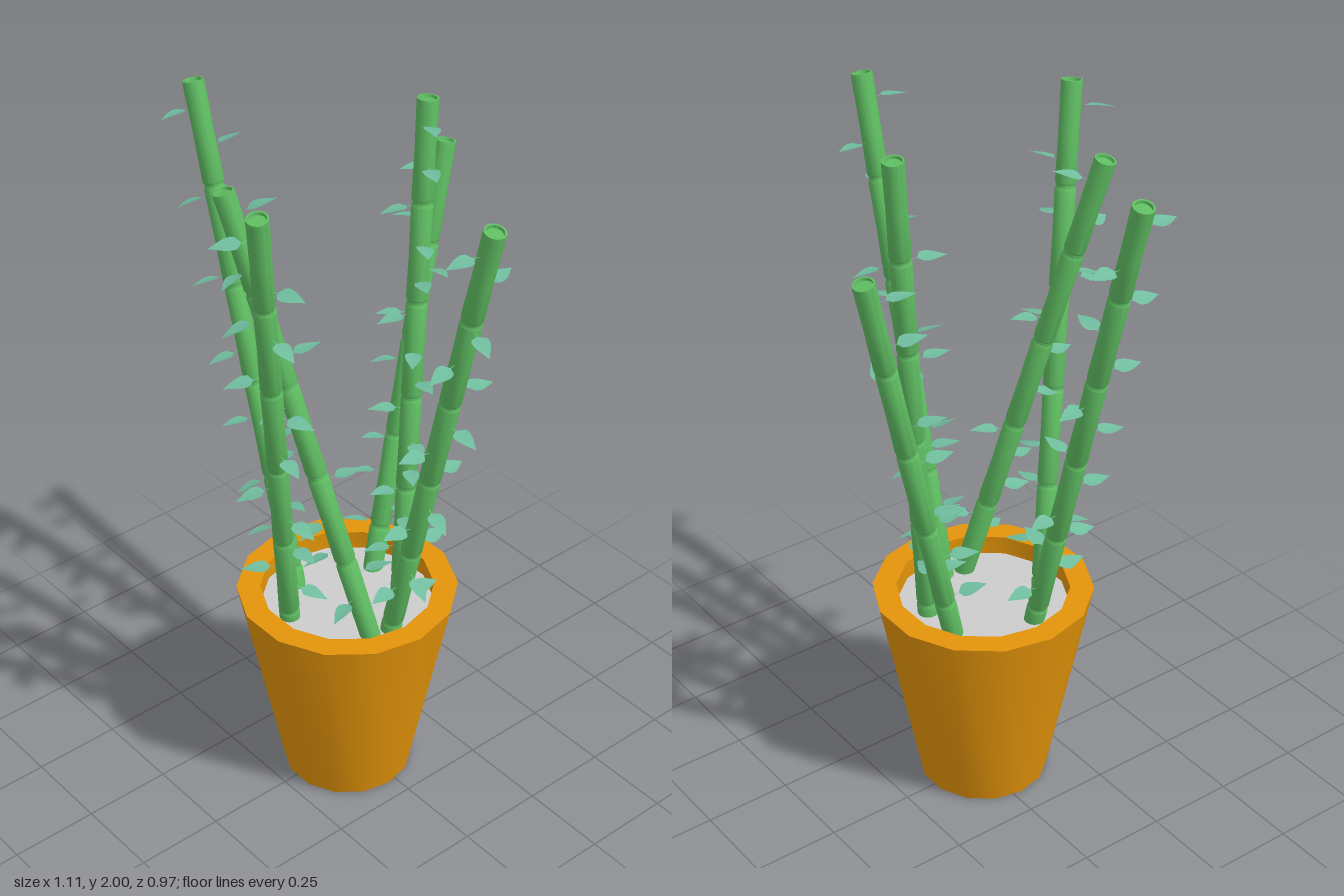
import * as THREE from 'three';
import { toCreasedNormals } from 'three/addons/utils/BufferGeometryUtils.js';

const potMat = new THREE.MeshStandardMaterial({ color: 0xe3940a });
const soilMat = new THREE.MeshStandardMaterial({ color: 0xcccccc });
const caneMat = new THREE.MeshStandardMaterial({ color: 0x5fbd62 });
const leafMat = new THREE.MeshStandardMaterial({ color: 0x70bd9e, side: THREE.DoubleSide });

const SOIL_Y = 0.56, RADIUS = 0.029, SEGMENT = 0.28;

// Each cane: axis point at the pot rim (x, z), axis point at the tip (x, y, z),
// number of leaves, and the headings they cycle through (degrees, 0 = +x, 90 = +z)
const canes = [
  { foot: [-0.152, 0.09], tip: [-0.522, 1.967, 0.09], count: 14, headings: [-90, 90, 5, 90] },
  { foot: [0.195, 0.015], tip: [0.525, 1.958, 0.015], count: 14, headings: [-90, 90, 10] },
  { foot: [-0.06, -0.14], tip: [-0.14, 1.77, -0.438], count: 10, headings: [105, 15, 110] },
  { foot: [0.06, -0.13], tip: [-0.022, 1.994, -0.266], count: 15, headings: [105, 25, 35] },
  { foot: [0.155, 0.085], tip: [-0.135, 1.882, 0.295], count: 11, headings: [80, -70, 100] },
  { foot: [-0.03, 0.2], tip: [0.144, 1.97, 0.408], count: 11, headings: [-15, 115, 5] },
];

// Jointed cane along +y: slightly flared segments with pinched joints and a dished tip
function caneGeometry(length) {
  const profile = [];
  const add = (r, y) => profile.push(new THREE.Vector2(r * RADIUS, y));
  add(0, 0);
  add(0.95, 0);
  for (let y = length % SEGMENT; y < length - 0.05; y += SEGMENT) {
    if (y < 0.03) continue;
    add(1, y - 0.01);
    add(0.88, y - 0.004);
    add(0.88, y + 0.004);
    add(1, y + 0.01);
    add(0.95, y + SEGMENT / 2);
  }
  add(1, length - 0.01);
  add(0.98, length);
  add(0.8, length);
  add(0.75, length - 0.008);
  add(0, length - 0.008);
  return toCreasedNormals(new THREE.LatheGeometry(profile, 14), 0.6);
}

// Pointed leaf along +x: thin stem, then a round-based, almost flat blade
function leafGeometry() {
  const stem = 0.044, tip = 0.12, steps = 9;
  const g = new THREE.PlaneGeometry(1, 1, steps, 2);
  const p = g.attributes.position;
  for (let i = 0; i < p.count; i++) {
    const t = p.getX(i) + 0.5, side = p.getY(i) * 2;
    const x = 0.02 + (tip - 0.02) * t;
    const b = Math.max(0, (x - stem) / (tip - stem));
    const width = 0.001 + 0.062 * Math.sqrt(b) * (1 - b) ** 1.25;
    const arch = 0.004 * Math.sin((x / tip) * Math.PI);
    p.setXYZ(i, x, arch + 0.12 * width * Math.abs(side), -width * side);
  }
  g.computeVertexNormals();
  return g;
}

export function createModel() {
  const model = new THREE.Group();
  model.name = 'pottedCanes';

  // Fourteen-sided tapered pot with a thick rim and hollow top
  const potProfile = [[0, 0], [0.183, 0], [0.306, 0.615], [0.24, 0.615], [0.24, 0.54]]
    .map(([r, y]) => new THREE.Vector2(r, y));
  const pot = new THREE.Mesh(
    toCreasedNormals(new THREE.LatheGeometry(potProfile, 14, Math.PI / 2), 0.6), potMat);
  pot.name = 'pot';
  pot.position.set(0.011, 0, 0.026);
  model.add(pot);

  // Soil surface
  const soil = new THREE.Mesh(new THREE.CircleGeometry(0.24, 14), soilMat);
  soil.name = 'soil';
  soil.rotation.x = -Math.PI / 2;
  soil.position.set(0.011, SOIL_Y, 0.026);
  model.add(soil);

  // Leaning canes
  const leafGeo = leafGeometry();
  const up = new THREE.Vector3(0, 1, 0);
  canes.forEach(({ foot, tip, count, headings }, c) => {
    const rim = new THREE.Vector3(foot[0], 0.615, foot[1]);
    const end = new THREE.Vector3(...tip);
    const base = rim.clone().lerp(end, (SOIL_Y - 0.02 - rim.y) / (end.y - rim.y));
    const length = base.distanceTo(end);
    const cane = new THREE.Group();
    cane.name = `cane${c + 1}`;
    cane.position.copy(base);
    cane.quaternion.setFromUnitVectors(up, end.clone().sub(base).normalize());

    const stalk = new THREE.Mesh(caneGeometry(length), caneMat);
    stalk.name = 'stalk';
    cane.add(stalk);

    // Leaves stand square to the stalk, denser towards the foot, each with a small tilt
    for (let i = 0; i < count; i++) {
      const leaf = new THREE.Mesh(leafGeo, leafMat);
      const heading = headings[i % headings.length] + 10 * Math.sin(i * 2.9 + c);
      leaf.name = 'leaf';
      leaf.position.y = 0.16 + (length - 0.23) * (i / (count - 1)) ** 1.25;
      leaf.rotation.set(0.12 * Math.sin(i * 2.4 + c), -THREE.MathUtils.degToRad(heading),
        0.1 * Math.sin(i * 1.7 + c), 'YZX');
      cane.add(leaf);
    }
    model.add(cane);
  });
  return model;
}
